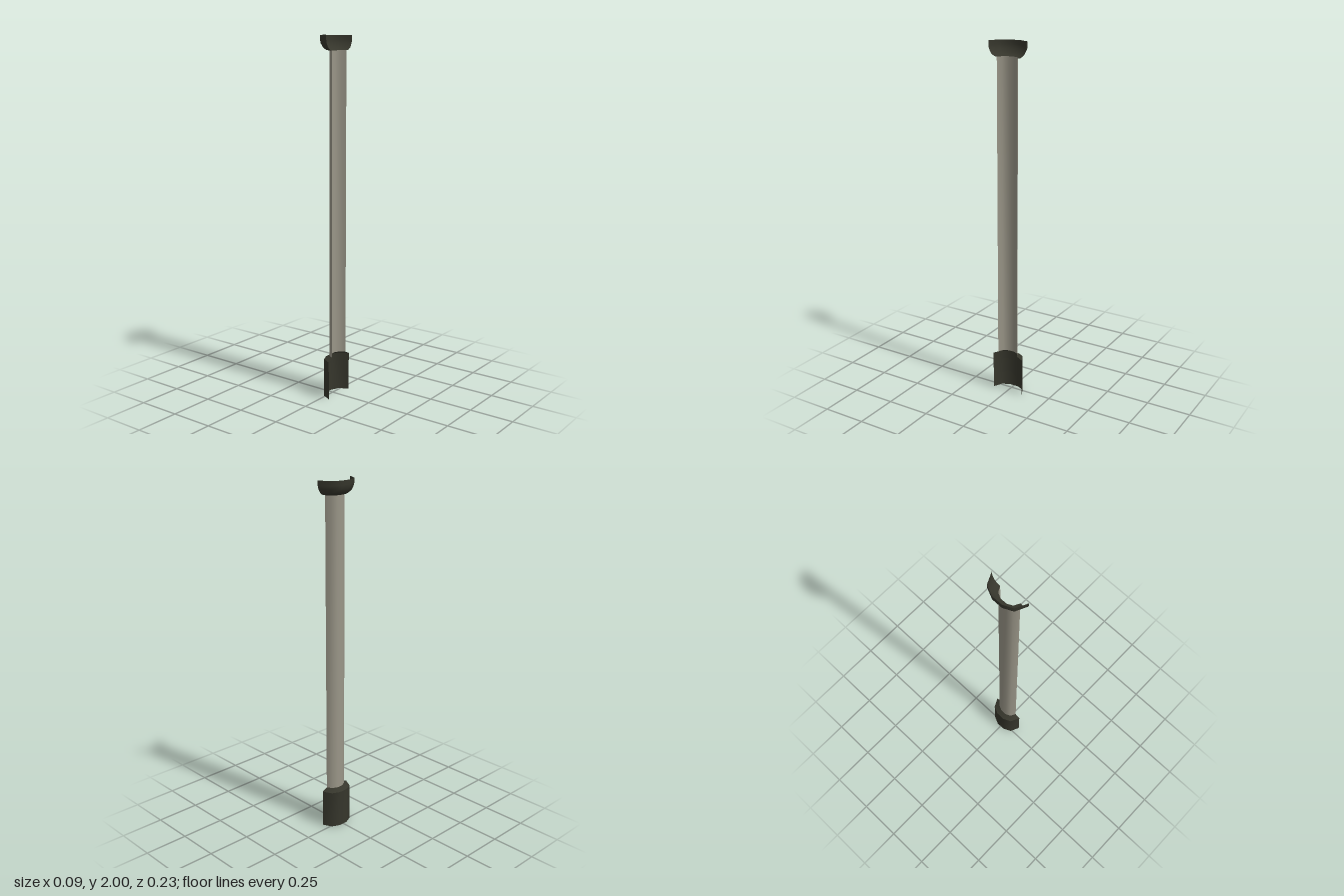
import * as THREE from 'three';

// Half plan of the open shell, as [x, z] from the middle to the open edge
const INNER = [[0, 0.018], [0.014, 0.047], [0.044, 0.063]];
const OUTER = [[-0.045, 0.03], [-0.02, 0.084], [0.044, 0.114]];

// Full plan outline; flare 0 is the shaft, flare 1 the rim of the capital
function outline(flare) {
  const half = INNER.map(([x, z], i) => [
    x + (OUTER[i][0] - x) * flare,
    z + (OUTER[i][1] - z) * flare,
  ]);
  return [...half.map(([x, z]) => [x, -z]).reverse(), ...half];
}

// Smooth open shell lofted upwards through [flare, y] levels
function loft(levels) {
  const positions = [], index = [];
  for (const [flare, y] of levels) {
    for (const [x, z] of outline(flare)) positions.push(x, y, z);
  }
  const n = INNER.length * 2;
  for (let j = 0; j < levels.length - 1; j++) {
    for (let i = 0; i < n - 1; i++) {
      const a = j * n + i, b = a + 1, c = a + n, d = c + 1;
      index.push(a, b, d, a, d, c);
    }
  }
  const geometry = new THREE.BufferGeometry();
  geometry.setAttribute('position', new THREE.Float32BufferAttribute(positions, 3));
  geometry.setIndex(index);
  geometry.computeVertexNormals();
  return geometry;
}

export function createModel() {
  const stone = new THREE.MeshStandardMaterial({ color: 0x9a9688, side: THREE.DoubleSide });
  stone.name = 'pale stone';
  const dark = new THREE.MeshStandardMaterial({ color: 0x36362c, side: THREE.DoubleSide });
  dark.name = 'dark stone';

  const model = new THREE.Group();
  model.name = 'halfColumn';
  const add = (name, material, levels) => {
    const mesh = new THREE.Mesh(loft(levels), material);
    mesh.name = name;
    model.add(mesh);
  };

  // Plinth with a sloping top
  add('base', dark, [[0.63, 0], [0.63, 0.218]]);
  add('baseBevel', dark, [[0.63, 0.218], [0, 0.235]]);
  // Plain shaft
  add('shaft', stone, [[0, 0.235], [0, 1.92]]);
  // Rounded, flaring capital
  add('capital', dark, [[0, 1.92], [0.32, 1.922], [0.68, 1.935], [0.92, 1.957], [1, 1.975], [1, 2]]);
  return model;
}
